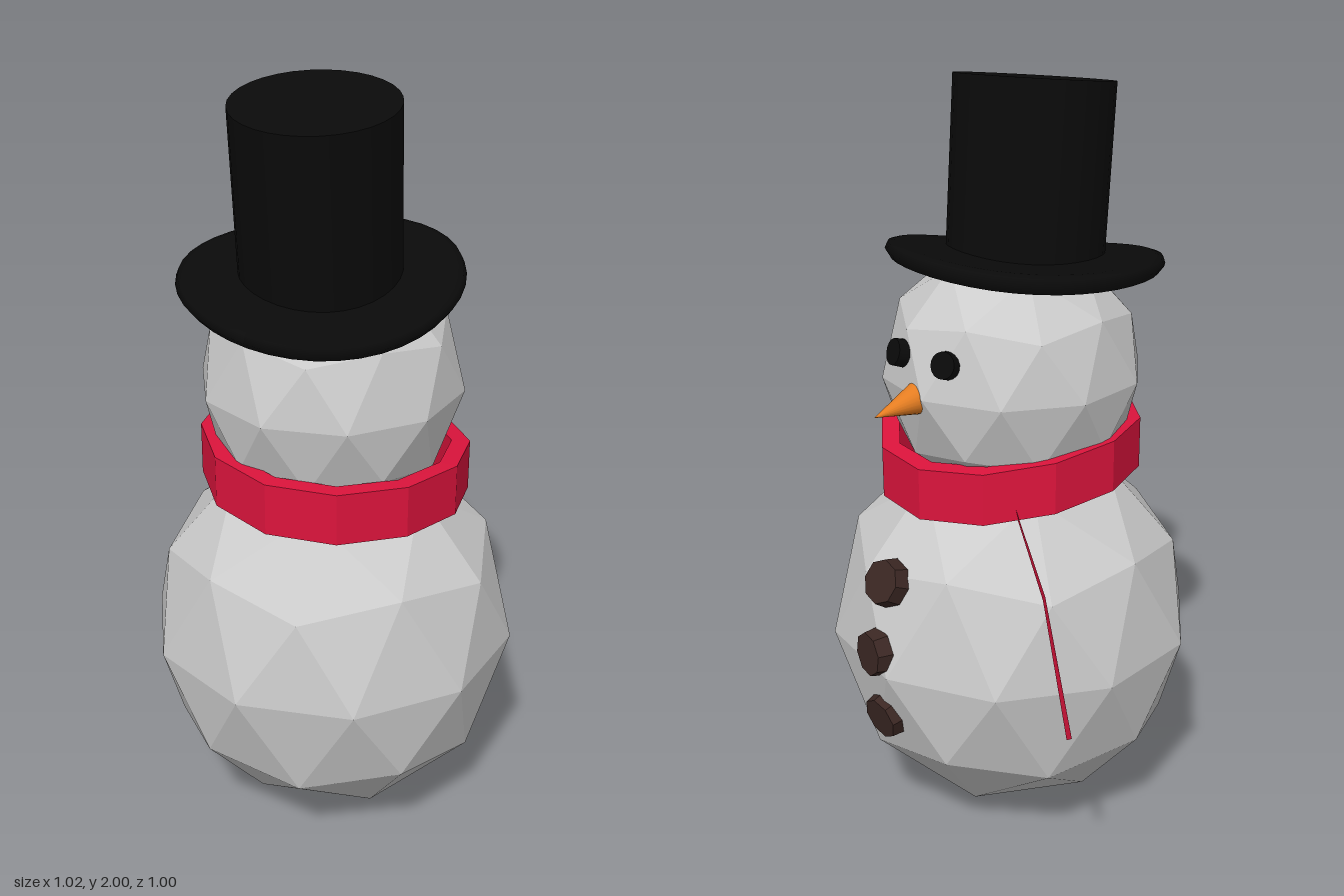
import * as THREE from 'three';

const V = (x, y, z) => new THREE.Vector3(x, y, z);

function mat(color, flatShading = false) {
  return new THREE.MeshStandardMaterial({ color, flatShading });
}

function add(parent, name, geometry, material) {
  const mesh = new THREE.Mesh(geometry, material);
  mesh.name = name;
  parent.add(mesh);
  return mesh;
}

// Move every vertex of a geometry by a rule
function warp(geometry, rule) {
  const p = geometry.attributes.position;
  const v = V(0, 0, 0);
  for (let i = 0; i < p.count; i++) {
    rule(v.fromBufferAttribute(p, i));
    p.setXYZ(i, v.x, v.y, v.z);
  }
  geometry.computeVertexNormals();
  return geometry;
}

// Faceted ball with one corner straight up and one down
function ball(rx, ry) {
  return new THREE.IcosahedronGeometry(1, 1)
    .rotateZ(-Math.atan(2 / (1 + Math.sqrt(5))))
    .scale(rx, ry, rx);
}

// Disc or cone whose axis points along a direction
function aim(mesh, position, direction) {
  mesh.position.copy(position);
  mesh.quaternion.setFromUnitVectors(V(0, 1, 0), direction.clone().normalize());
}

export function createModel() {
  const model = new THREE.Group();
  model.name = 'snowman';
  const snow = mat(0xcccccc, true);
  const black = mat(0x0a0a0a);
  const red = mat(0xdc143c, true);
  const brown = mat(0x3b2723, true);

  // Snowballs
  add(model, 'body', ball(0.49, 0.525), snow).position.set(0.065, 0.528, 0.005);
  const headCentre = V(0.065, 1.24, 0.012);
  add(model, 'head', ball(0.342, 0.342), snow).position.copy(headCentre);

  // Tilted top hat with a gently wavy brim
  const hat = new THREE.Group();
  hat.name = 'hat';
  hat.position.set(0.055, 1.52, 0.05);
  hat.rotation.set(0.132, 0, -0.04);
  model.add(hat);
  add(hat, 'hatCrown', new THREE.CylinderGeometry(0.205, 0.203, 0.456, 32).translate(0, 0.228, 0), black);
  const brimProfile = [[0, -0.025], [0.3, -0.025], [0.342, -0.02], [0.357, 0], [0.35, 0.018], [0.33, 0.025], [0, 0.025]]
    .map(([r, y]) => new THREE.Vector2(r, y));
  const brim = warp(new THREE.LatheGeometry(brimProfile, 40), (v) => { v.y -= 0.26 * v.x * v.z; });
  add(hat, 'hatBrim', brim, black);

  // Scarf loop, slightly tilted and uneven
  const band = [[0.3, -0.068], [0.348, -0.068], [0.348, 0.068], [0.3, 0.068], [0.3, -0.068]]
    .map(([r, y]) => new THREE.Vector2(r, y));
  const loop = warp(new THREE.LatheGeometry(band, 12), (v) => {
    v.y += -0.045 * v.x + 0.06 * v.z + 0.1 * (v.x * v.x - v.z * v.z);
  });
  add(model, 'scarfLoop', loop, red).position.set(0.08, 1.02, 0.016);

  // Scarf tail: a strip between two edge lines, bent once
  const front = [V(-0.03, 0.97, -0.3), V(-0.29, 0.8, -0.345), V(-0.47, 0.53, -0.415)];
  const rear = [V(-0.22, 1.01, -0.1), V(-0.37, 0.86, -0.155), V(-0.525, 0.6, -0.19)];
  const tail = warp(new THREE.BoxGeometry(1, 1, 1, 1, 1, 2), (v) => {
    const i = Math.round((v.z + 0.5) * 2);
    const across = rear[i].clone().sub(front[i]);
    const along = front[Math.min(i + 1, 2)].clone().sub(front[Math.max(i - 1, 0)]);
    const normal = along.cross(across).normalize();
    const thickness = v.y * 0.035;
    v.copy(front[i]).addScaledVector(across, v.x + 0.5).addScaledVector(normal, thickness);
  });
  add(model, 'scarfTail', tail, red);

  // Buttons
  const buttons = [
    [V(0.115, 0.765, -0.425), V(0.08, 0.45, -1)],
    [V(0.122, 0.578, -0.468), V(0.28, 0.05, -1)],
    [V(0.12, 0.38, -0.438), V(0.12, -0.2, -1)],
  ];
  for (const [position, direction] of buttons) {
    aim(add(model, 'button', new THREE.CylinderGeometry(0.058, 0.065, 0.04, 8), brown), position, direction);
  }

  // Eyes
  for (const x of [0.012, 0.172]) {
    const position = V(x, 1.335, -0.298);
    const eye = add(model, 'eye', new THREE.CylinderGeometry(0.034, 0.036, 0.03, 16), black);
    aim(eye, position, position.clone().sub(headCentre));
  }

  // Carrot nose
  const nose = add(model, 'nose', new THREE.ConeGeometry(0.042, 0.155, 20), mat(0xe67e22));
  aim(nose, V(0.104, 1.227, -0.378), V(0, -0.06, -1));

  return model;
}
